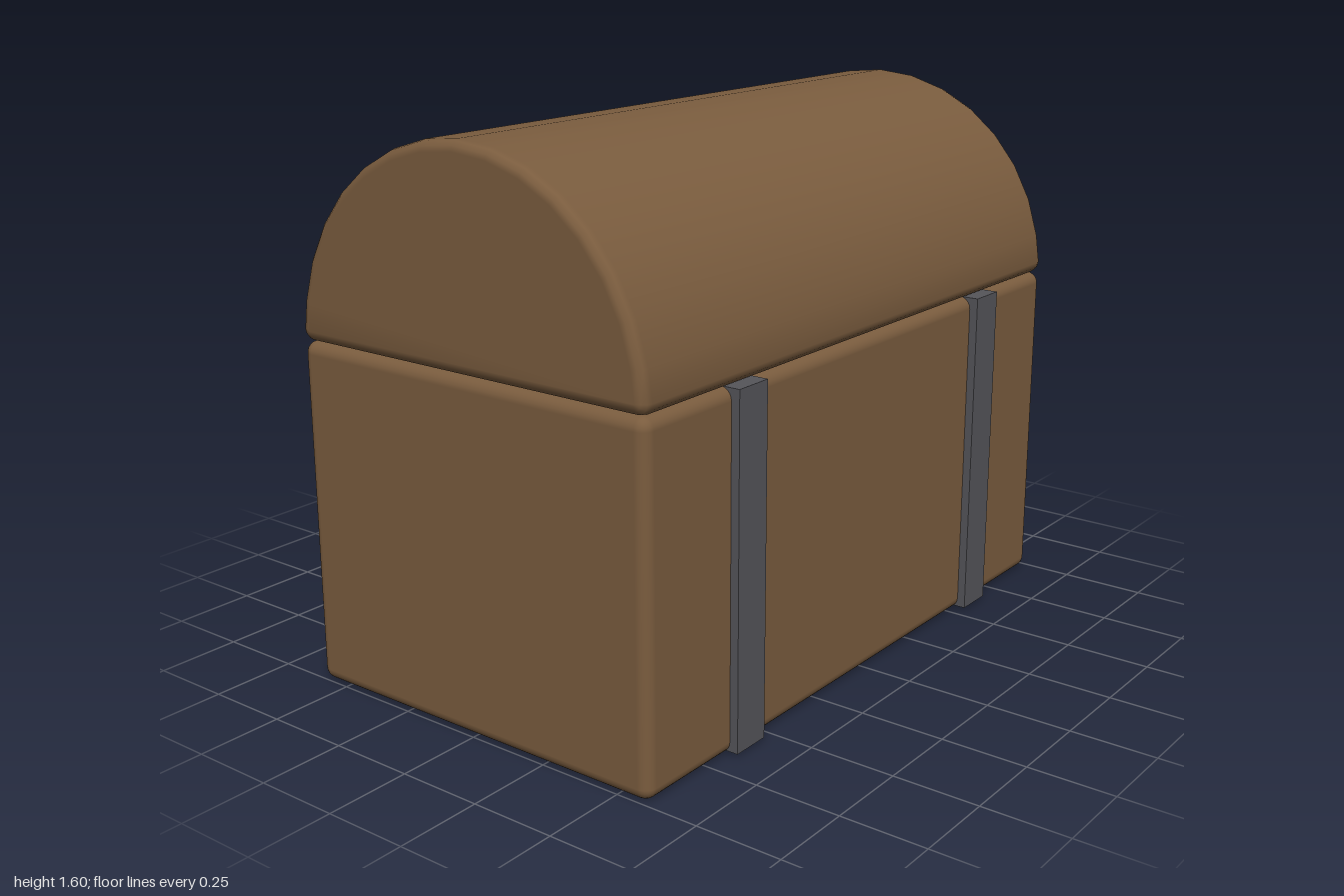
import * as THREE from 'three';
import { RoundedBoxGeometry } from 'three/addons/geometries/RoundedBoxGeometry.js';

const BEVEL = 0.03;    // rounding of the lid ends
const CORNER = 0.035;  // rounding of the body and the lid's lower edges
const RADIUS = 0.6;
const BASE = 1;        // height where the lid meets the body

// Half-round lid: bevelled extrusion with smooth normals taken from an inner core
function lidGeometry() {
  const inner = RADIUS - BEVEL, cx = RADIUS - CORNER, small = CORNER - BEVEL;
  const half = [];
  for (let i = 0; i <= 3; i++) {
    const a = -Math.PI / 2 + (i / 3) * Math.PI / 2;
    half.push([cx + small * Math.cos(a), CORNER + small * Math.sin(a)]);
  }
  for (let i = 1; i < 8; i++) {
    const a = (i / 16) * Math.PI;
    half.push([inner * Math.cos(a), inner * Math.sin(a)]);
  }
  const outline = [...half, [0, inner], ...half.slice().reverse().map(([x, y]) => [-x, y])];
  const shape = new THREE.Shape(outline.map(([x, y]) => new THREE.Vector2(x, y)));
  const geo = new THREE.ExtrudeGeometry(shape, {
    depth: 2 - 2 * BEVEL, bevelEnabled: true,
    bevelSize: BEVEL, bevelThickness: BEVEL, bevelSegments: 3,
  });
  geo.translate(0, 0, -(1 - BEVEL));

  const p = geo.attributes.position, n = geo.attributes.normal, d = new THREE.Vector3();
  for (let i = 0; i < p.count; i++) {
    const x = p.getX(i), y = p.getY(i), z = p.getZ(i);
    d.z = z - THREE.MathUtils.clamp(z, -(1 - BEVEL), 1 - BEVEL);
    if (y < CORNER - 1e-4) {
      d.x = x - THREE.MathUtils.clamp(x, -cx, cx);
      d.y = y - CORNER;
    } else {
      const r = Math.hypot(x, y), out = Math.max(r - inner, 0);
      d.x = (x / r) * out;
      d.y = (y / r) * out;
    }
    d.normalize();
    n.setXYZ(i, d.x, d.y, d.z);
  }
  geo.rotateY(Math.PI / 2);
  return geo;
}

export function createModel() {
  const wood = new THREE.MeshStandardMaterial({ color: 0x7a5c3e });
  wood.name = 'brown wood';
  const iron = new THREE.MeshStandardMaterial({ color: 0x55555a });
  iron.name = 'dark iron';

  const chest = new THREE.Group();
  chest.name = 'chest';
  const add = (name, geo, mat, x, y, z) => {
    const mesh = new THREE.Mesh(geo, mat);
    mesh.name = name;
    mesh.position.set(x, y, z);
    chest.add(mesh);
  };

  add('body', new RoundedBoxGeometry(2, 1, 1.2, 3, CORNER), wood, 0, 0.5, 0);
  add('lid', lidGeometry(), wood, 0, BASE, 0);

  // Upright straps on the front and back
  const strap = new THREE.BoxGeometry(0.12, 0.993, 0.05);
  for (const [end, z] of [['front', 0.6], ['back', -0.6]])
    for (const [side, x] of [['Left', 0.6], ['Right', -0.6]])
      add(end + side + 'Strap', strap, iron, x, 0.5035, z);

  return chest;
}
